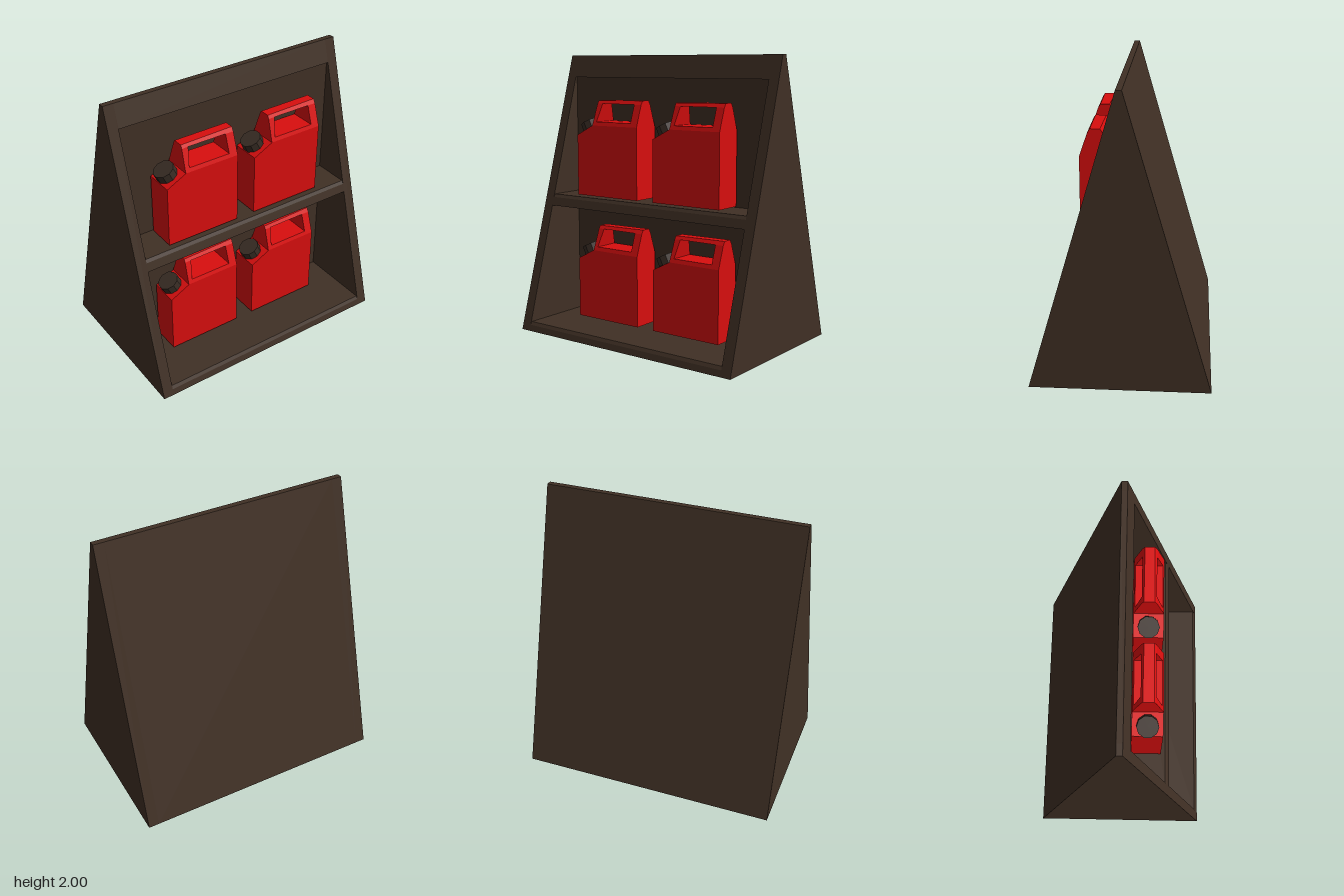
import * as THREE from 'three';

const wood = new THREE.MeshStandardMaterial({ color: 0x403025 });
wood.name = 'dark brown wood';
const red = new THREE.MeshStandardMaterial({ color: 0xd90e0e });
red.name = 'red plastic';
const dark = new THREE.MeshStandardMaterial({ color: 0x382c24 });
dark.name = 'dark cap plastic';

const shapeOf = (pts) => new THREE.Shape(pts.map(([x, y]) => new THREE.Vector2(x, y)));

function mesh(name, geometry, material) {
  const m = new THREE.Mesh(geometry, material);
  m.name = name;
  return m;
}

// Extrudes a (z, y) side profile along x, centred on the given x
function sideExtrude(pts, width, x) {
  const g = new THREE.ExtrudeGeometry(shapeOf(pts), { depth: width, bevelEnabled: false });
  g.translate(0, 0, -width / 2);
  g.rotateY(-Math.PI / 2);
  g.translate(x, 0, 0);
  return g;
}

// Extrudes an (x, y) profile whose half depth runs from h0 at y0 to h1 at y1
function taperExtrude(pts, y0, h0, y1, h1) {
  const g = new THREE.ExtrudeGeometry(shapeOf(pts), { depth: 2, bevelEnabled: false });
  const p = g.attributes.position;
  for (let i = 0; i < p.count; i++) {
    const t = (p.getY(i) - y0) / (y1 - y0);
    p.setZ(i, (p.getZ(i) - 1) * (h0 + (h1 - h0) * t));
  }
  g.computeVertexNormals();
  return g;
}

function createCan() {
  const can = new THREE.Group();
  can.name = 'fuelCan';
  // Body with a sloped shoulder
  can.add(mesh('canBody', taperExtrude(
    [[0, 0], [0.55, 0], [0.55, 0.51], [0.143, 0.51], [0, 0.437]], 0, 0.103, 0.51, 0.103), red));
  // Tapered handle posts around the grip opening
  can.add(mesh('handlePosts', taperExtrude(
    [[0.143, 0.51], [0.55, 0.51], [0.55, 0.665], [0.488, 0.665], [0.488, 0.537],
      [0.176, 0.537], [0.198, 0.665], [0.15, 0.665]], 0.51, 0.103, 0.665, 0.05), red));
  // Handle bar across the top
  can.add(mesh('handleBar', taperExtrude(
    [[0.15, 0.665], [0.55, 0.665], [0.55, 0.693], [0.151, 0.687]], 0.665, 0.05, 0.693, 0.033), red));
  // Screw cap square to the shoulder
  const cap = mesh('cap', new THREE.CylinderGeometry(0.074, 0.074, 0.062, 10).toNonIndexed(), dark);
  cap.geometry.computeVertexNormals();
  cap.position.set(0.05, 0.502, 0);
  cap.rotation.z = 0.46;
  can.add(cap);
  return can;
}

export function createModel() {
  const model = new THREE.Group();
  model.name = 'canDisplayRack';

  // Triangular end panels
  const outer = [[0.603, 0], [0.02, 2], [-0.02, 2], [-0.603, 0]];
  for (const s of [-1, 1]) {
    model.add(mesh('endPanel', sideExtrude(outer, 0.075, s * 0.8775), wood));
  }

  // Back, floor, middle shelf and top rail as one section
  const front = (y) => 0.603 - 0.2915 * y;
  const back = 0.052;
  const section = [
    [-0.603, 0], [front(0), 0], [front(0.042), 0.042], [0.577, 0.064], [back, 0.064],
    [back, 0.9], [front(0.9), 0.9], [front(0.96), 0.96], [0.309, 0.982], [back, 0.982],
    [back, 1.84], [front(1.84), 1.84], [0.02, 2], [-0.02, 2],
  ];
  model.add(mesh('shelfBody', sideExtrude(section, 1.68, 0), wood));

  // Two cans on each shelf
  for (const y of [0.082, 0.992]) {
    for (const x of [-0.635, 0.055]) {
      const can = createCan();
      can.position.set(x, y, 0.175);
      model.add(can);
    }
  }
  return model;
}
